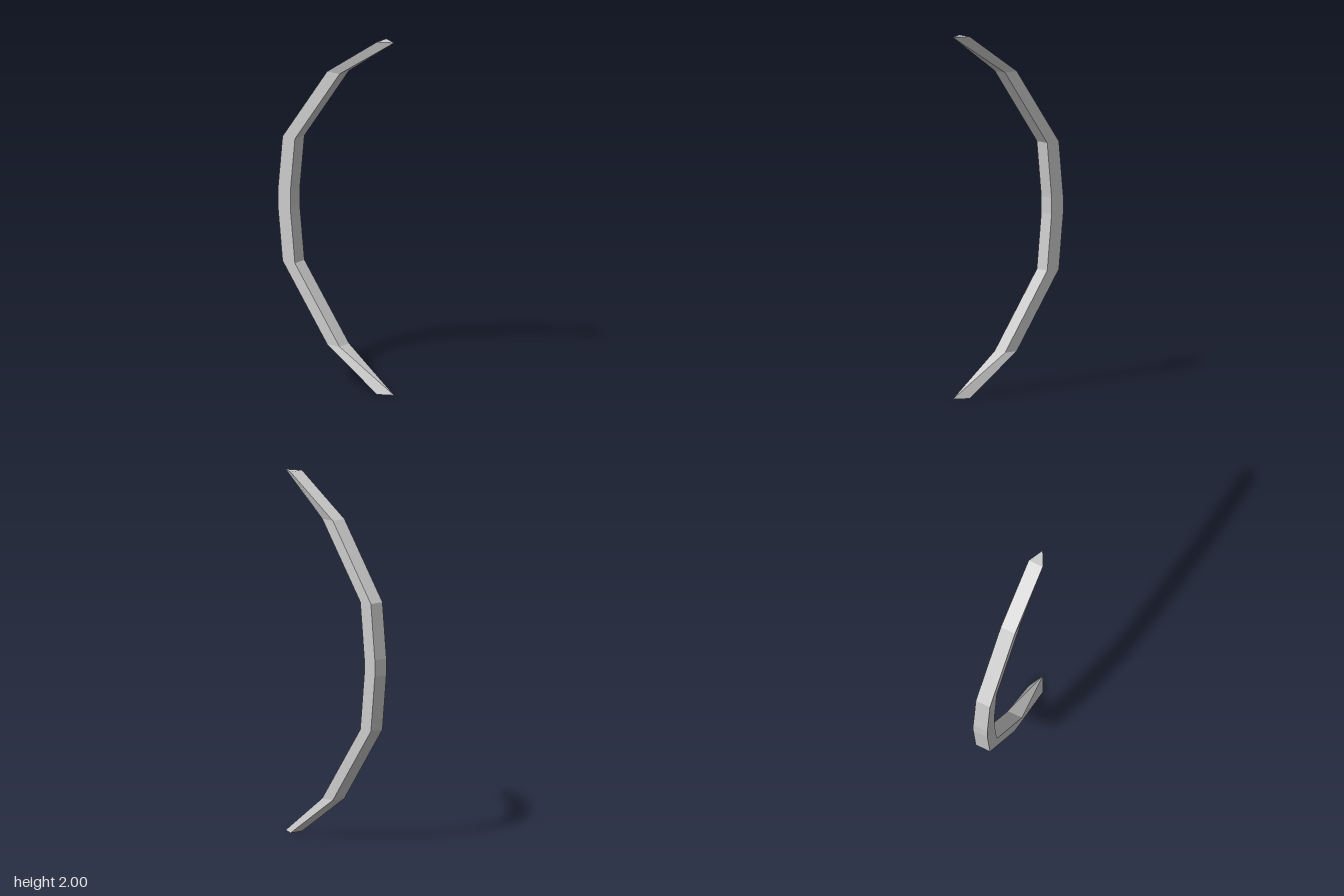
import * as THREE from 'three';

const W = 0.043; // half width of the bar

// Lower half of the bow: [height, back z, front z, half width of the front edge]
const half = [
  [0, 0.296, 0.382, 0],
  [0.226, -0.045, 0.04, W],
  [0.647, -0.351, -0.266, W],
  [0.955, -0.383, -0.298, W],
];
// Upper half mirrors the lower one
const stations = [...half, ...half.map(([y, ...r]) => [2 - y, ...r]).reverse()];

// Four corners of a cross-section: back right, back left, front left, front right
const ring = ([y, zb, zf, wf]) => [
  new THREE.Vector3(-W, y, zb),
  new THREE.Vector3(W, y, zb),
  new THREE.Vector3(wf, y, zf),
  new THREE.Vector3(-wf, y, zf),
];

function createBar() {
  const pos = [], nor = [], idx = [];

  // One face with a single normal; flip picks the other diagonal
  function quad(a, b, c, d, flip) {
    const n = new THREE.Vector3().crossVectors(c.clone().sub(a), d.clone().sub(b)).normalize();
    const s = pos.length / 3;
    for (const p of [a, b, c, d]) {
      pos.push(p.x, p.y, p.z);
      nor.push(n.x, n.y, n.z);
    }
    const order = flip ? [0, 1, 3, 1, 2, 3] : [0, 1, 2, 0, 2, 3];
    idx.push(...order.map((i) => s + i));
  }

  const rings = stations.map(ring);
  const last = rings.length - 1;
  for (let i = 0; i < last; i++) {
    const lo = rings[i], hi = rings[i + 1];
    for (let k = 0; k < 4; k++) {
      const j = (k + 1) % 4;
      // sides of the pinched tips fold outwards, from back tip to front shoulder
      const flip = (k === 1) === (i === 0);
      quad(lo[k], hi[k], hi[j], lo[j], !flip);
    }
  }

  // Flat triangular tip faces
  const [a, b, c, d] = rings[0];
  quad(a, b, c, d, false);
  const [e, f, g, h] = rings[last];
  quad(h, g, f, e, true);

  const geo = new THREE.BufferGeometry();
  geo.setAttribute('position', new THREE.Float32BufferAttribute(pos, 3));
  geo.setAttribute('normal', new THREE.Float32BufferAttribute(nor, 3));
  geo.setIndex(idx);
  return geo;
}

export function createModel() {
  const group = new THREE.Group();
  group.name = 'bow';
  const mat = new THREE.MeshStandardMaterial({ color: 0xcccccc, side: THREE.DoubleSide });
  const bar = new THREE.Mesh(createBar(), mat);
  bar.name = 'curvedBar';
  group.add(bar);
  return group;
}
